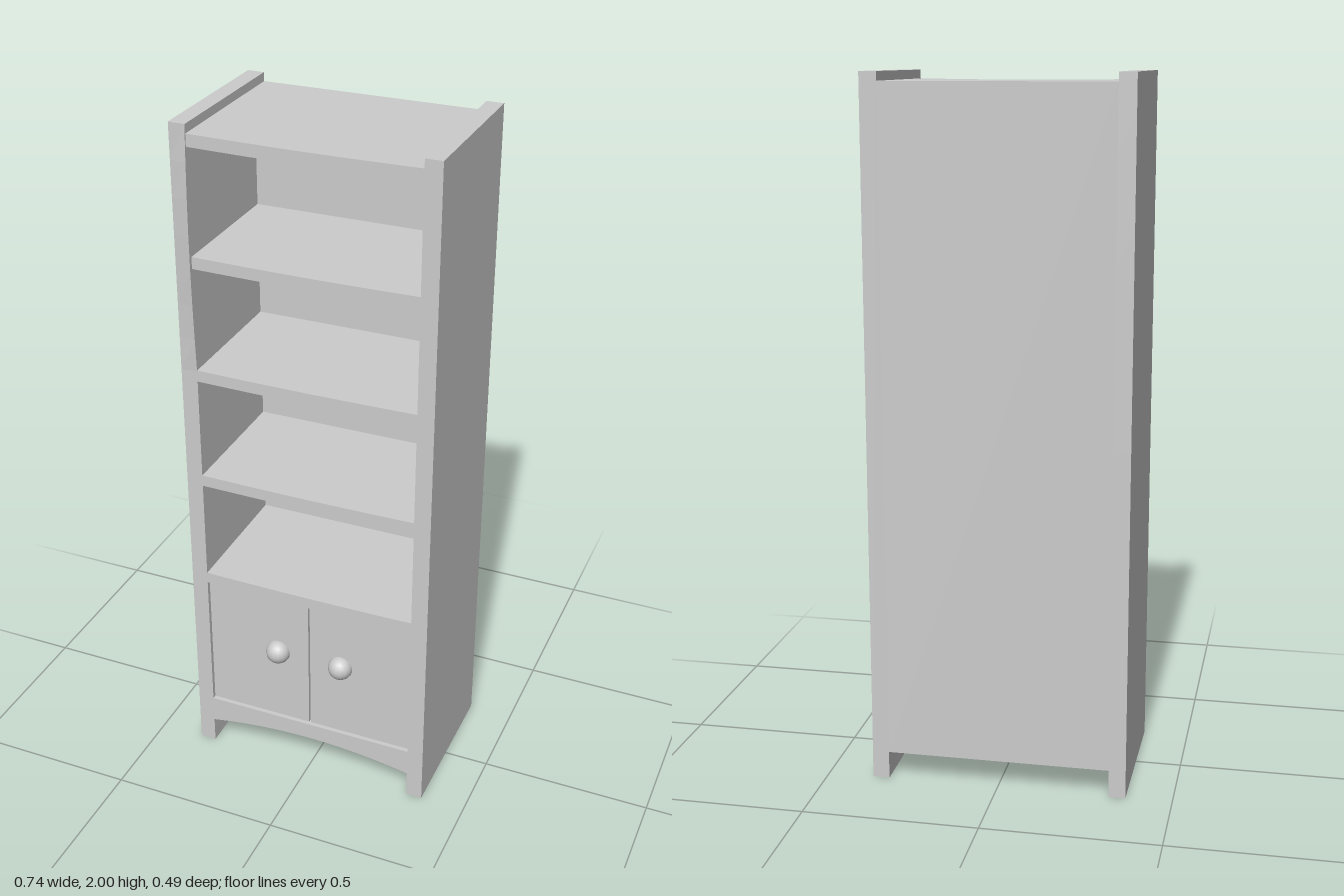
import * as THREE from 'three';

const W = 0.368, IN = 0.32;          // outer and inner half widths
const BACK = -0.247, WALL = -0.185, FRONT = 0.22;

export function createModel() {
  const group = new THREE.Group();
  const mat = new THREE.MeshStandardMaterial({ color: 0xcccccc, flatShading: true });
  const smooth = new THREE.MeshStandardMaterial({ color: 0xcccccc });

  // Box between limits; an optional rule bends its vertices
  function board(name, [x0, x1], [y0, y1], [z0, z1], sx = 1, sy = 1, rule) {
    const g = new THREE.BoxGeometry(x1 - x0, y1 - y0, z1 - z0, sx, sy, 1);
    g.translate((x0 + x1) / 2, (y0 + y1) / 2, (z0 + z1) / 2);
    if (rule) {
      const p = g.attributes.position, v = new THREE.Vector3();
      for (let i = 0; i < p.count; i++) {
        v.fromBufferAttribute(p, i);
        rule(v);
        p.setXYZ(i, v.x, v.y, v.z);
      }
      g.computeVertexNormals();
    }
    const mesh = new THREE.Mesh(g, mat);
    mesh.name = name;
    group.add(mesh);
  }

  // Side panels, with the hand-worn front edge bowing slightly forward near the top
  board('rightSide', [-W, -IN], [0, 2], [BACK, FRONT], 1, 20, v => {
    if (v.z > 0 && v.x > -0.34 && v.y > 1.3) v.z += 0.011 * Math.sin(Math.PI * (v.y - 1.3) / 0.75);
  });
  board('leftSide', [IN, W], [0, 2], [BACK, FRONT]);

  // Back panel
  board('backPanel', [-IN, IN], [0.08, 1.975], [BACK, WALL]);

  // Top board and shelves, front edges faintly worn
  const worn = v => {
    if (v.z > 0) v.y -= 0.003 * Math.cos(v.x / IN * Math.PI / 2);
  };
  board('topBoard', [-IN, IN], [1.94, 1.975], [WALL, FRONT], 8, 1, worn);
  for (const y of [1.605, 1.27, 0.935, 0.6]) {
    board('shelf', [-IN, IN], [y, y + 0.034], [WALL, FRONT], 8, 1, worn);
  }

  // Base, its underside rising to an arch at the front
  board('base', [-IN, IN], [0.08, 0.164], [BACK + 0.001, FRONT], 12, 1, v => {
    if (v.z > 0 && v.y < 0.1) v.y += 0.032 * (1 - (v.x / IN) ** 2);
  });

  // Recessed cupboard doors with round knobs
  for (const s of [-1, 1]) {
    const xs = [s * 0.0025, s * IN].sort((a, b) => a - b);
    board('door', xs, [0.164, 0.6], [0.17, 0.207]);
    const knob = new THREE.Mesh(new THREE.SphereGeometry(0.037, 16, 12), smooth);
    knob.name = 'knob';
    knob.position.set(s * 0.1, 0.403, 0.208);
    group.add(knob);
  }
  return group;
}
